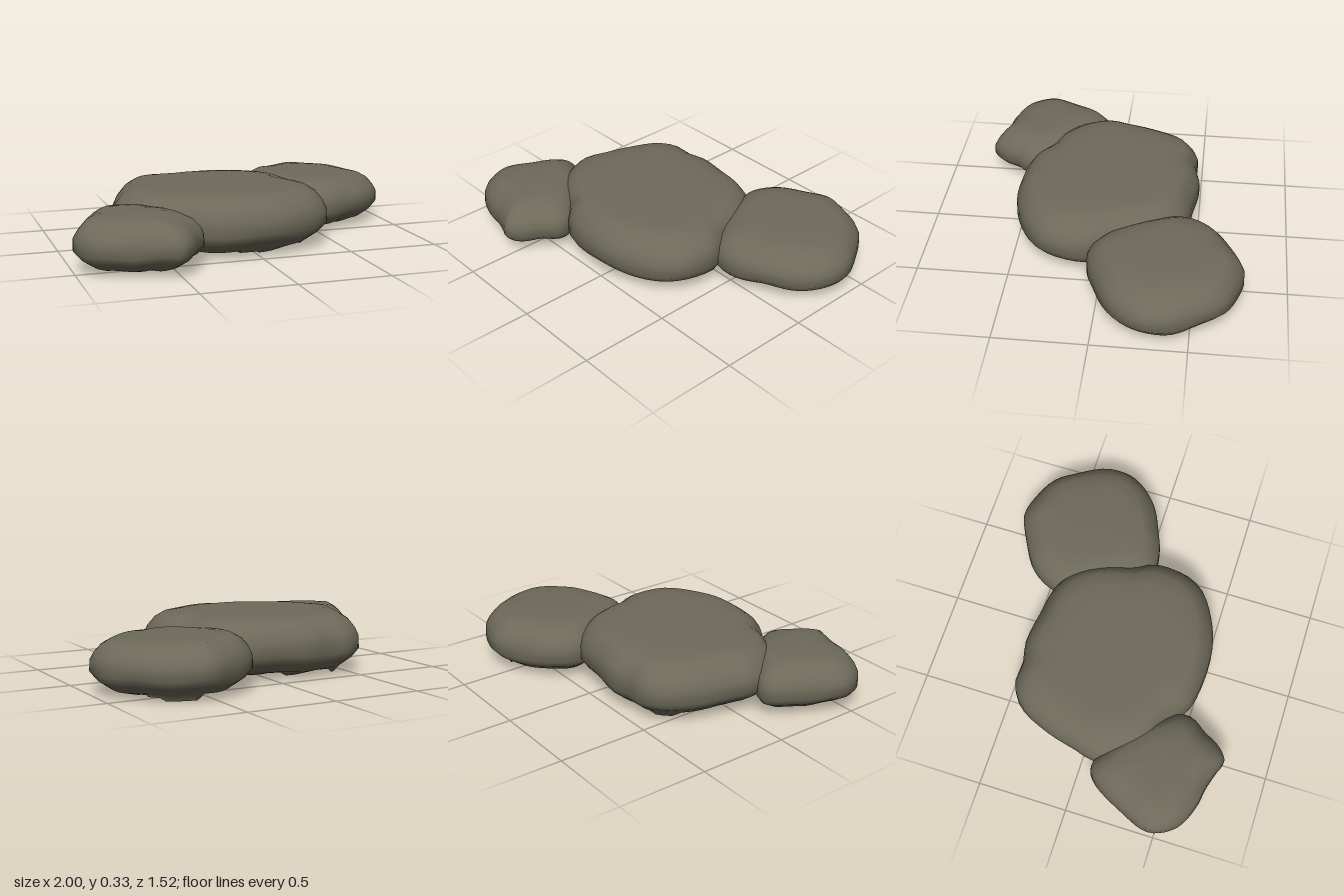
import * as THREE from 'three';

const stoneMaterial = new THREE.MeshStandardMaterial({ color: 0x6e6a5a, side: THREE.DoubleSide });
stoneMaterial.name = 'greyBrownStone';

function seeded(seed) {
  return () => {
    seed = (seed * 16807) % 2147483647;
    return seed / 2147483647;
  };
}

// Cross-section of a worn stone: [inset from the outline, height as a share of the top]
const PROFILE = [
  [0.085, 0.13], [0.025, 0.27], [0, 0.4], [0.002, 0.6], [0.014, 0.73],
  [0.05, 0.87], [0.095, 0.955], [0.17, 0.99], [0.27, 1],
];

// A hollow stone with a closed top, rounded sides and a ragged opening underneath.
// The outline is a list of [x, z] points in the order +x to +z.
function makeStone(name, outline, { top, lip, seed, tilt = [0, 0] }) {
  const random = seeded(seed);
  const curve = new THREE.CatmullRomCurve3(
    outline.map(([x, z]) => new THREE.Vector3(x, 0, z)), true, 'centripetal');
  const count = 60;
  const rim = curve.getSpacedPoints(count).slice(0, count);
  const centre = rim.reduce((sum, p) => sum.add(p), new THREE.Vector3()).divideScalar(count);
  const meanRadius = rim.reduce((sum, p) => sum + p.distanceTo(centre), 0) / count;
  const positions = [];
  const index = [];

  // Inner rings grow rounder towards the middle
  const addPoint = (p, inset, y) => {
    const r = p.distanceTo(centre);
    const s = (THREE.MathUtils.lerp(r, meanRadius, inset / meanRadius) - inset) / r;
    const x = centre.x + (p.x - centre.x) * s;
    const z = centre.z + (p.z - centre.z) * s;
    const slope = (x - centre.x) * tilt[0] + (z - centre.z) * tilt[1];
    positions.push(x, y + slope * Math.max(0, y / top - 0.4), z);
  };

  // Ragged lower lip in broad teeth, a few of them hanging lower
  let inset, y;
  rim.forEach((p, i) => {
    if (i % 3 === 0) {
      inset = lip + 0.1 * (random() - 0.5);
      y = random() < 0.15 ? 0.008 : 0.022 + 0.014 * random();
    }
    addPoint(p, inset, y);
  });

  // Rounded sides and shoulder, with slow undulations
  PROFILE.forEach(([inset, h], k) => {
    rim.forEach((p, i) => {
      const a = (i / count) * Math.PI * 2;
      const wave = Math.sin(a * 3 + seed) * 0.5 + Math.sin(a * 7 + seed * 2) * 0.5;
      const edge = k === 2 || k === 3 ? 0 : 0.012;
      addPoint(p, inset + edge * (wave + 1) * 0.5, h * top + (k < 7 ? 0.006 * wave : 0));
    });
  });

  const rings = PROFILE.length + 1;
  for (let k = 0; k < rings - 1; k++) {
    for (let i = 0; i < count; i++) {
      const j = (i + 1) % count;
      const a = k * count + i, b = k * count + j;
      index.push(a, a + count, b, b, a + count, b + count);
    }
  }

  // Top cap
  const tip = rings * count;
  positions.push(centre.x, top, centre.z);
  for (let i = 0; i < count; i++) {
    index.push((rings - 1) * count + i, tip, (rings - 1) * count + (i + 1) % count);
  }

  const geometry = new THREE.BufferGeometry();
  geometry.setAttribute('position', new THREE.Float32BufferAttribute(positions, 3));
  geometry.setIndex(index);
  geometry.computeVertexNormals();
  const mesh = new THREE.Mesh(geometry, stoneMaterial);
  mesh.name = name;
  return mesh;
}

export function createModel() {
  const group = new THREE.Group();
  group.name = 'steppingStones';

  // Large middle slab
  group.add(makeStone('middleStone', [
    [-0.43, -0.475], [-0.32, -0.47], [-0.2, -0.495], [0, -0.47], [0.17, -0.44], [0.29, -0.36],
    [0.38, -0.2], [0.42, -0.03], [0.47, 0.07], [0.46, 0.25], [0.4, 0.36], [0.25, 0.46],
    [0.05, 0.52], [-0.28, 0.49], [-0.4, 0.4], [-0.53, 0.35], [-0.65, 0.25], [-0.72, 0.08],
    [-0.69, -0.05], [-0.65, -0.2], [-0.57, -0.38], [-0.51, -0.44],
  ], { top: 0.34, lip: 0.16, seed: 17 }));

  // Round stone at the back left
  group.add(makeStone('backStone', [
    [0.25, -0.6], [0.42, -0.71], [0.55, -0.765], [0.68, -0.74], [0.82, -0.67], [0.92, -0.53],
    [0.99, -0.38], [0.99, -0.25], [0.93, -0.14], [0.83, -0.05], [0.68, 0.02], [0.57, 0.06],
    [0.44, 0.06], [0.3, -0.08], [0.22, -0.25], [0.17, -0.44],
  ], { top: 0.302, lip: 0.15, seed: 29, tilt: [-0.05, -0.02] }));

  // Small stone at the front right, reaching under the slab
  group.add(makeStone('frontStone', [
    [-0.76, 0.07], [-0.62, 0.13], [-0.49, 0.23], [-0.38, 0.36], [-0.33, 0.45], [-0.33, 0.52],
    [-0.39, 0.61], [-0.44, 0.7], [-0.51, 0.755], [-0.57, 0.735], [-0.68, 0.7], [-0.79, 0.68],
    [-0.93, 0.61], [-1, 0.47], [-0.93, 0.28], [-0.83, 0.11],
  ], { top: 0.295, lip: 0.17, seed: 43, tilt: [0, -0.05] }));

  return group;
}
